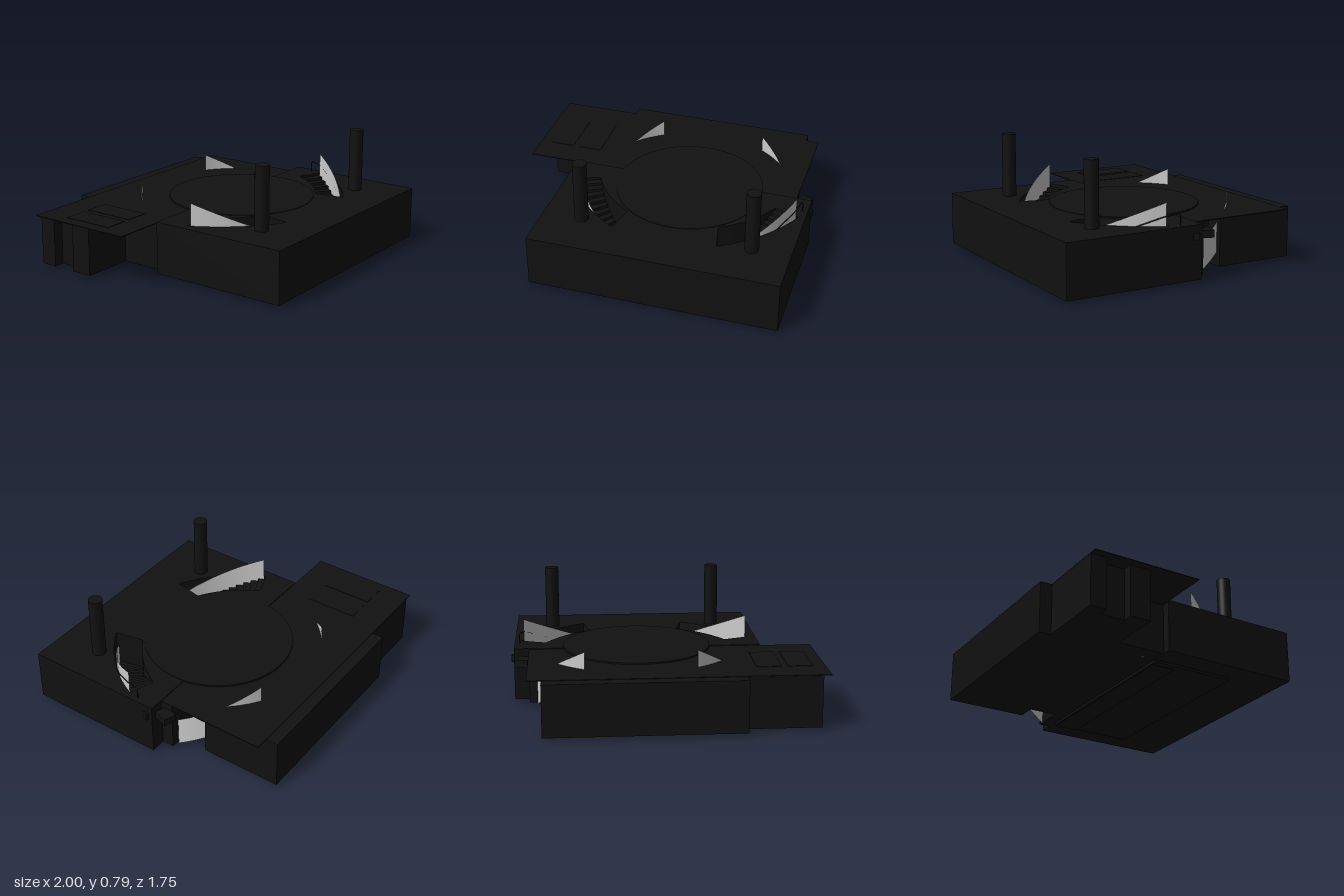
import * as THREE from 'three';

const AXIS = 0.165; // x of the atrium's mirror line
const dark = new THREE.MeshStandardMaterial({ color: 0x111111 });
const glass = new THREE.MeshStandardMaterial({ color: 0xcccccc, side: THREE.DoubleSide });
const V2 = (x, z) => new THREE.Vector2(x, z);

export function createModel() {
  const group = new THREE.Group();

  function add(name, geometry, material = dark) {
    const mesh = new THREE.Mesh(geometry, material);
    mesh.name = name;
    group.add(mesh);
    return mesh;
  }
  // Box given by its limits
  function box(name, x0, x1, y0, y1, z0, z1) {
    const mesh = add(name, new THREE.BoxGeometry(x1 - x0, y1 - y0, z1 - z0));
    mesh.position.set((x0 + x1) / 2, (y0 + y1) / 2, (z0 + z1) / 2);
    return mesh;
  }
  // Upright block from a plan outline in x and z
  function block(name, outline, y0, y1, holes = []) {
    const shape = new THREE.Shape(outline);
    holes.forEach(h => shape.holes.push(new THREE.Path(h)));
    const geo = new THREE.ExtrudeGeometry(shape, { depth: y1 - y0, bevelEnabled: false });
    geo.rotateX(Math.PI / 2).translate(0, y1, 0);
    return add(name, geo);
  }
  // Sloping glass along plan points, top edge falling evenly from yA to yB
  function railing(name, points, yA, yB, height) {
    const pos = [], index = [];
    points.forEach((p, i) => {
      const y = yA + (yB - yA) * i / (points.length - 1);
      pos.push(p.x, y, p.y, p.x, y - height, p.y);
      if (i) index.push(2 * i - 2, 2 * i - 1, 2 * i, 2 * i, 2 * i - 1, 2 * i + 1);
    });
    const geo = new THREE.BufferGeometry();
    geo.setAttribute('position', new THREE.Float32BufferAttribute(pos, 3));
    geo.setIndex(index);
    geo.computeVertexNormals();
    add(name, geo, glass);
  }
  const curve = (a, b, c, n) => new THREE.QuadraticBezierCurve(V2(...a), V2(...b), V2(...c)).getPoints(n);
  const mirror = pts => pts.map(p => V2(2 * AXIS - p.x, p.y));

  // Plan curves of the front stairs
  const STEPS = 12;
  const glassLine = curve([0.92, 0.15], [0.78, 0.427], [0.51, 0.58], STEPS);
  const outer = curve([0.935, 0.14], [0.79, 0.437], [0.51, 0.595], STEPS);
  const inner = curve([0.77, 0.08], [0.66, 0.29], [0.47, 0.4], STEPS);
  const well = [...outer, ...inner.slice().reverse()];

  // Front block with two stairwells
  block('frontBlock', [V2(-0.66, -0.07), V2(0.98, -0.07), V2(0.98, 0.87), V2(-0.66, 0.87)],
    0.02, 0.368, [well, mirror(well)]);

  // Back block, recessed on the right around the lower railing
  block('backBlock', [
    V2(-0.48, -0.88), V2(0.79, -0.88), V2(0.79, -0.338), V2(0.66, -0.338), V2(0.66, -0.15),
    V2(0.88, -0.15), V2(0.88, -0.07), V2(-0.5, -0.07),
  ], 0.02, 0.358);

  // Wing with a notched side wall
  block('wing', [
    V2(-0.48, -0.8), V2(-0.95, -0.8), V2(-0.95, -0.69), V2(-0.88, -0.69), V2(-0.88, -0.53),
    V2(-0.95, -0.53), V2(-0.95, -0.39), V2(-0.6, -0.39), V2(-0.6, -0.07), V2(-0.48, -0.07),
  ], 0.02, 0.355);
  box('backRoof', -1, 0.88, 0.356, 0.362, -0.8, -0.07);
  for (const [x0, x1] of [[-0.92, -0.76], [-0.72, -0.56]])
    box('roofPanel', x0, x1, 0.362, 0.365, -0.6, -0.25);

  // Round atrium floor
  const disc = add('atriumFloor', new THREE.CylinderGeometry(0.49, 0.49, 0.012, 64));
  disc.position.set(AXIS, 0.366, 0);

  // Shallow underside plate, narrower at the bottom
  block('undersidePlate', [V2(-0.5, -0.07), V2(0.8, -0.07), V2(0.8, 0.5), V2(-0.5, 0.5)], 0.004, 0.022);
  block('undersideStrip', [V2(-0.46, -0.06), V2(0.8, -0.06), V2(0.8, 0.1), V2(-0.46, 0.1)], 0, 0.01);

  // Back railing follows the round floor down to the ground
  const arc = [];
  for (let i = 0; i <= 20; i++) {
    const a = THREE.MathUtils.degToRad(58.5 - 45.3 * i / 20);
    arc.push(V2(AXIS + 0.68 * Math.cos(a), -0.68 * Math.sin(a)));
  }

  for (const side of [1, -1]) {
    const place = pts => (side > 0 ? pts : mirror(pts));
    const label = side > 0 ? 'left' : 'right';
    railing(label + 'FrontRailing', place(glassLine), 0.515, 0.275, 0.2);
    railing(label + 'BackRailing', place(arc), 0.475, 0.21, 0.2);

    // Steps going down towards the front
    for (let i = 0; i < STEPS; i++)
      block(label + 'Step', place([outer[i], outer[i + 1], inner[i + 1], inner[i]]),
        0.02, 0.35 - 0.02 * i);

    // Column
    const column = add(label + 'Column', new THREE.CylinderGeometry(0.046, 0.046, 0.77, 32));
    column.position.set(AXIS + side * 0.563, 0.405, 0.56);
  }

  // Handrail beside the left front railing
  const rail = new THREE.CurvePath();
  const path = [[0.945, 0.36, 0.065], [0.945, 0.432, 0.065], [0.938, 0.44, 0.075],
    [0.915, 0.425, 0.17], [0.83, 0.365, 0.31], [0.74, 0.31, 0.41]].map(p => new THREE.Vector3(...p));
  for (let i = 1; i < path.length; i++) rail.add(new THREE.LineCurve3(path[i - 1], path[i]));
  add('handrail', new THREE.TubeGeometry(rail, 60, 0.004, 6));

  // Small boxes on the left wall
  const large = box('wallBox', 0.875, 0.96, 0.27, 0.318, -0.18, -0.08);
  large.rotation.y = -0.3;
  const small = box('smallWallBox', 0.965, 0.992, 0.27, 0.318, -0.045, -0.005);
  small.rotation.y = -0.3;

  return group;
}
